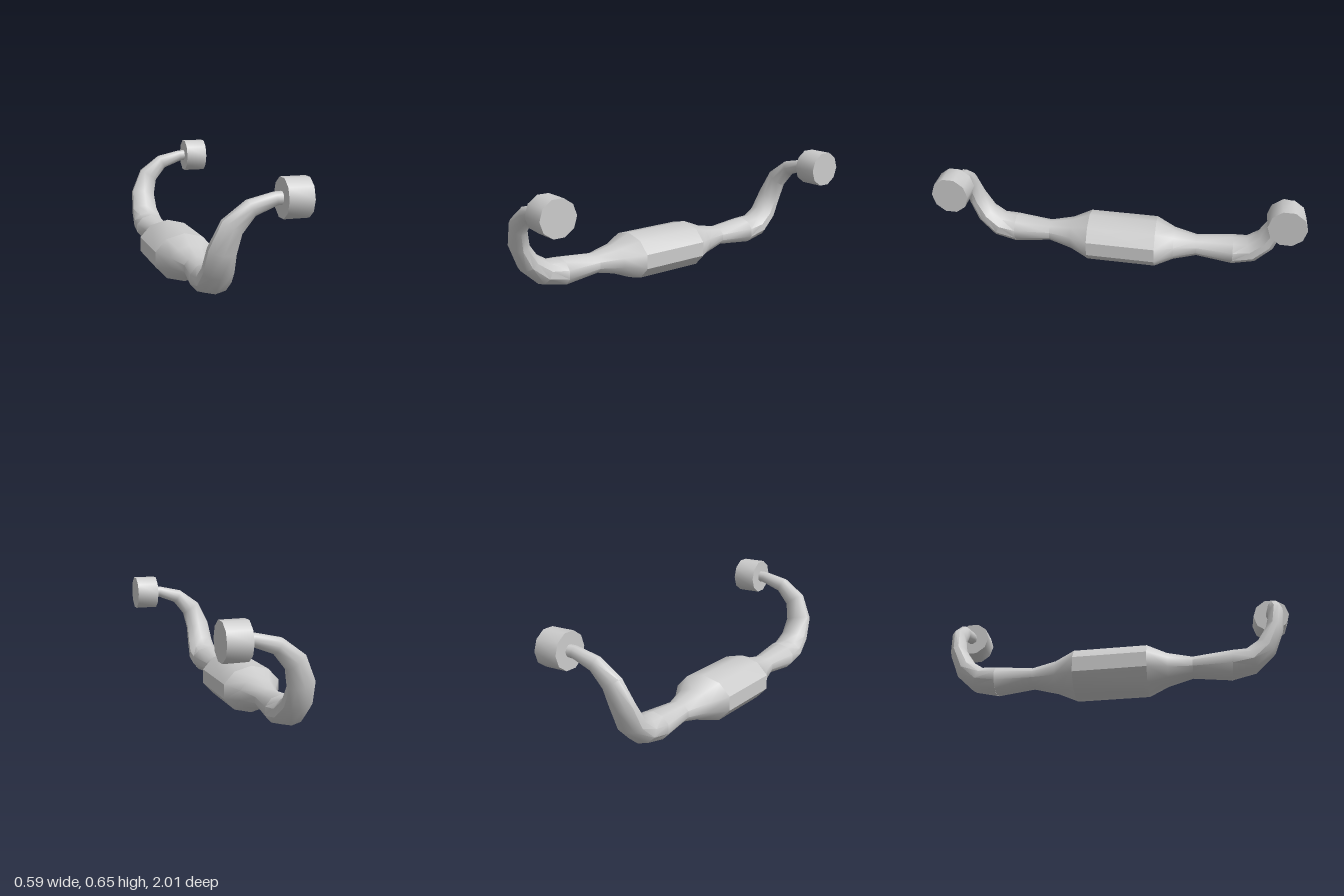
import * as THREE from 'three';
import { toCreasedNormals } from 'three/addons/utils/BufferGeometryUtils.js';

const SIDES = 10;
const CREASE = 0.75;
const AXIS_X = -0.13;
const AXIS_Y = 0.136;

// The two ends are slightly staggered: a small shear of the mirrored shape
const SHEAR = new THREE.Matrix4().set(
  1, 0, -0.006, 0,
  0, 1, 0, 0,
  -0.06, 0, 1, 0.012,
  0, 0, 0, 1);

// Lofts elliptical rings { c: centre, r: [wide, thin], roll: degrees of the wide axis }
function loft(rings, side = 1) {
  const pos = [], index = [];
  rings.forEach(({ c, r, roll = 0 }, i) => {
    const a = THREE.MathUtils.degToRad(roll);
    const prev = rings[Math.max(i - 1, 0)].c;
    const next = rings[Math.min(i + 1, rings.length - 1)].c;
    const tangent = new THREE.Vector3(...next).sub(new THREE.Vector3(...prev)).normalize();
    if (i === 0) tangent.set(0, 0, 1);
    const wide = new THREE.Vector3(Math.cos(a), -Math.sin(a), 0);
    wide.addScaledVector(tangent, -wide.dot(tangent)).normalize();
    const thin = tangent.clone().cross(wide);
    for (let j = 0; j < SIDES; j++) {
      const t = Math.PI / 2 + (j / SIDES) * Math.PI * 2;
      const p = new THREE.Vector3(...c)
        .addScaledVector(wide, r[0] * Math.cos(t))
        .addScaledVector(thin, r[1] * Math.sin(t));
      pos.push(p.x, p.y, p.z * side);
      if (i === 0) continue;
      const k = (j + 1) % SIDES, lo = (i - 1) * SIDES, hi = i * SIDES;
      const quad = [lo + j, lo + k, hi + k, lo + j, hi + k, hi + j];
      index.push(...(side > 0 ? quad : quad.reverse()));
    }
  });
  const geo = new THREE.BufferGeometry();
  geo.setAttribute('position', new THREE.Float32BufferAttribute(pos, 3));
  geo.setIndex(index);
  return geo;
}

export function createModel() {
  const group = new THREE.Group();
  const material = new THREE.MeshStandardMaterial({ color: 0xcccccc, side: THREE.DoubleSide });
  const add = (name, geo) => {
    const mesh = new THREE.Mesh(toCreasedNormals(geo.applyMatrix4(SHEAR), CREASE), material);
    mesh.name = name;
    group.add(mesh);
  };

  // Wide middle casing
  const bodyR = [0.173, 0.133];
  add('casing', loft([
    { c: [AXIS_X, AXIS_Y, -0.198], r: bodyR },
    { c: [AXIS_X, AXIS_Y, 0.198], r: bodyR },
  ]));

  // Cone from the casing down to the neck, then the swelling pipe
  const cone = [
    { c: [AXIS_X, AXIS_Y, 0.198], r: bodyR },
    { c: [AXIS_X, AXIS_Y, 0.305], r: [0.11, 0.087] },
    { c: [AXIS_X, 0.139, 0.437], r: [0.071, 0.057] },
    { c: [AXIS_X, 0.137, 0.645], r: [0.097, 0.078] },
  ];
  // Pipe bending upwards, then across to the flange
  const bend = [
    { ...cone[3] },
    { c: [-0.131, 0.153, 0.748], r: [0.092, 0.07] },
    { c: [-0.135, 0.219, 0.828], r: [0.082, 0.06], roll: 4 },
    { c: [-0.132, 0.324, 0.88], r: [0.075, 0.047], roll: 10 },
    { c: [-0.091, 0.438, 0.9], r: [0.062, 0.041], roll: 25 },
    { c: [0.001, 0.521, 0.902], r: [0.045, 0.038], roll: 50 },
    { c: [0.125, 0.558, 0.9], r: [0.034, 0.032], roll: 78 },
    { c: [0.17, 0.56, 0.9], r: [0.033, 0.031], roll: 88 },
  ];

  for (const [end, side] of [['front', 1], ['back', -1]]) {
    add(end + 'Neck', loft(cone, side));
    add(end + 'Pipe', loft(bend, side));
    // Solid end flange facing sideways
    const flange = new THREE.CylinderGeometry(0.101, 0.101, 0.131, SIDES);
    flange.rotateZ(-Math.PI / 2).translate(0.221, 0.559, 0.899 * side);
    add(end + 'Flange', flange);
  }
  return group;
}
